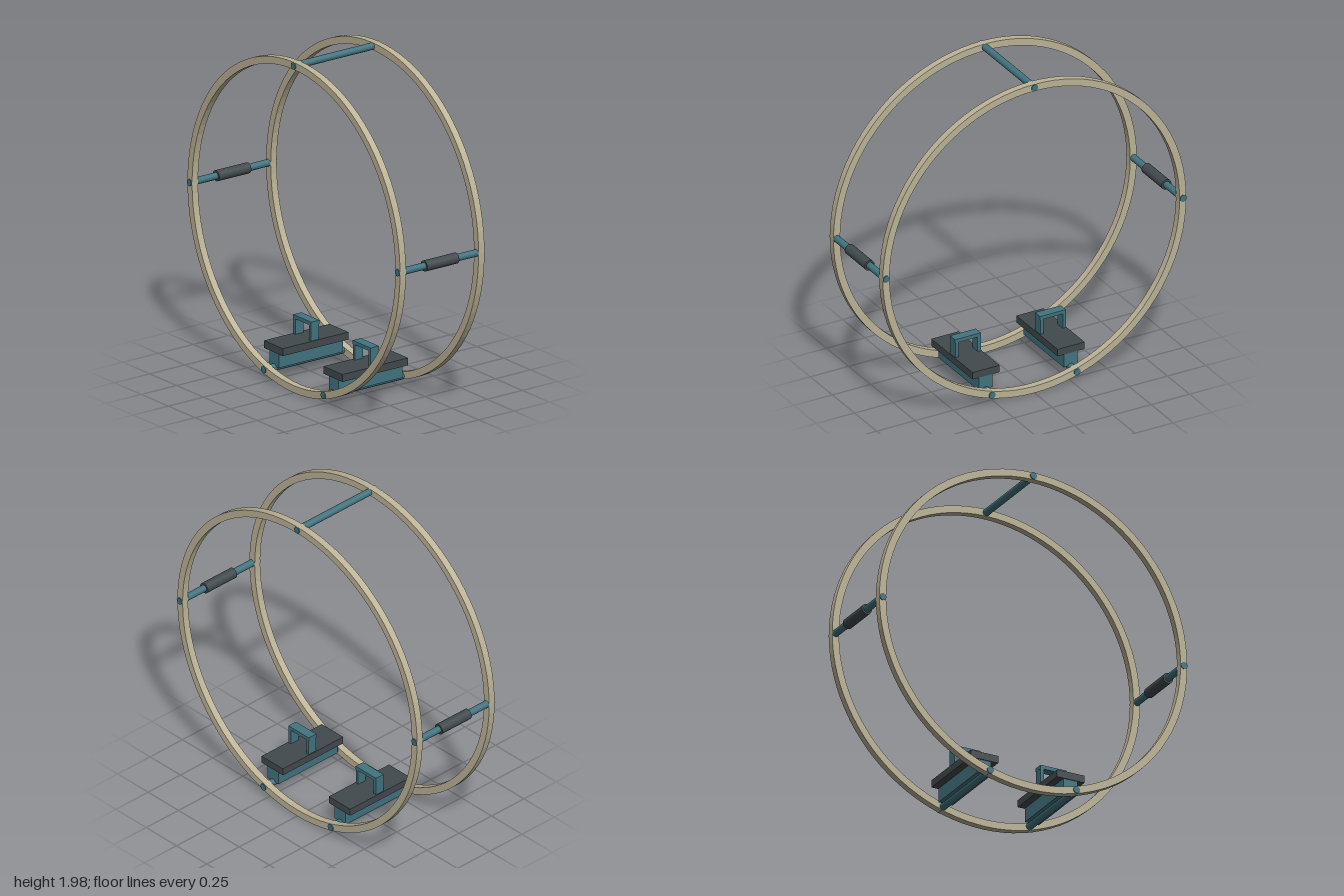
import * as THREE from 'three';

const beige = new THREE.MeshStandardMaterial({ color: 0xbdb498 });
const teal = new THREE.MeshStandardMaterial({ color: 0x427480 });
const dark = new THREE.MeshStandardMaterial({ color: 0x424a4d });

const CENTRE_Y = 0.99;
const BAR_RADIUS = 0.967; // distance of the cross bars from the wheel axis

function add(parent, name, geometry, material, x = 0, y = 0, z = 0) {
  const mesh = new THREE.Mesh(geometry, material);
  mesh.name = name;
  mesh.position.set(x, y, z);
  parent.add(mesh);
  return mesh;
}

// Cylinder lying along z
function rod(radius, length) {
  return new THREE.CylinderGeometry(radius, radius, length, 20).rotateX(Math.PI / 2);
}

// Flat hoop of rectangular section, centred on z = 0
function hoop(outer, inner, width) {
  const shape = new THREE.Shape().absarc(0, 0, outer, 0, Math.PI * 2);
  shape.holes.push(new THREE.Path().absarc(0, 0, inner, 0, Math.PI * 2, true));
  return new THREE.ExtrudeGeometry(shape, { depth: width, bevelEnabled: false, curveSegments: 48 })
    .translate(0, 0, -width / 2);
}

// Footplate on its riser, with a square strap over the foot
function footrest(x) {
  const group = new THREE.Group();
  group.name = 'footrest';
  group.position.x = x;
  add(group, 'riser', new THREE.BoxGeometry(0.09, 0.088, 0.456), teal, 0, 0.114);
  add(group, 'footplate', new THREE.BoxGeometry(0.176, 0.044, 0.466), dark, 0, 0.177);
  for (const side of [-1, 1]) {
    add(group, 'strapPost', new THREE.BoxGeometry(0.02, 0.1, 0.058), teal, side * 0.073, 0.243);
  }
  add(group, 'strapTop', new THREE.BoxGeometry(0.168, 0.022, 0.058), teal, 0, 0.302);
  return group;
}

export function createModel() {
  const model = new THREE.Group();
  model.name = 'gymWheel';

  // Two parallel hoops
  for (const side of [-1, 1]) {
    add(model, 'hoop', hoop(0.988, 0.945, 0.042), beige, 0, CENTRE_Y, side * 0.279);
  }

  // Cross bar at the top
  add(model, 'topBar', rod(0.021, 0.61), teal, 0, CENTRE_Y + BAR_RADIUS);

  for (const side of [-1, 1]) {
    // Hand bars with thicker grips
    add(model, 'handBar', rod(0.021, 0.61), teal, side * BAR_RADIUS, CENTRE_Y);
    add(model, 'grip', rod(0.032, 0.226), dark, side * BAR_RADIUS, CENTRE_Y);

    // Foot bars with footrests
    const x = side * 0.277;
    add(model, 'footBar', rod(0.021, 0.61), teal, x, CENTRE_Y - Math.sqrt(BAR_RADIUS ** 2 - x ** 2));
    model.add(footrest(x));
  }
  return model;
}
